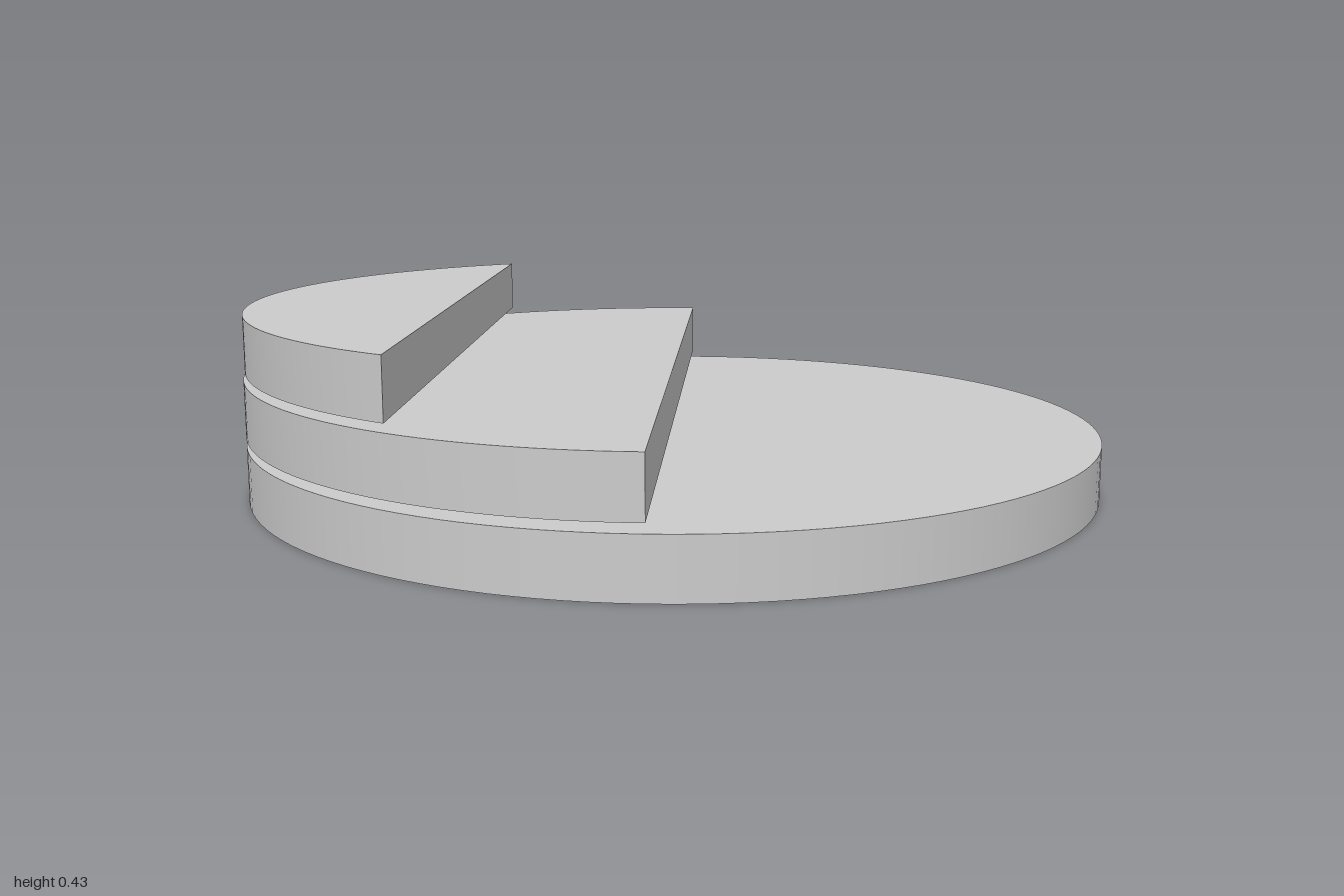
import * as THREE from 'three';
import { toCreasedNormals } from 'three/addons/utils/BufferGeometryUtils.js';

const material = new THREE.MeshStandardMaterial({ color: 0xcccccc });
const THICKNESS = 0.13;

// Circular segment slab: arc runs counterclockwise (seen from above), closed by a straight chord
function segmentSlab(name, radius, startDeg, endDeg, y) {
  const shape = new THREE.Shape();
  shape.absarc(0, 0, radius, THREE.MathUtils.degToRad(startDeg), THREE.MathUtils.degToRad(endDeg), false);
  shape.closePath();
  const extruded = new THREE.ExtrudeGeometry(shape, { depth: THICKNESS, bevelEnabled: false, curveSegments: 64 });
  extruded.rotateX(-Math.PI / 2);
  const mesh = new THREE.Mesh(toCreasedNormals(extruded, Math.PI / 6), material);
  mesh.name = name;
  mesh.position.y = y;
  return mesh;
}

export function createModel() {
  const group = new THREE.Group();
  group.name = 'steppedDiscs';

  // Full round base
  const base = new THREE.Mesh(new THREE.CylinderGeometry(1, 1, THICKNESS, 128), material);
  base.name = 'baseDisc';
  base.position.y = THICKNESS / 2;
  group.add(base);

  // Half disc and smaller segment, floating above with thin gaps
  group.add(segmentSlab('middleHalfDisc', 1, 90, 270.3, 0.15));
  group.add(segmentSlab('topSegment', 0.996, 122.1, 240.2, 0.297));

  return group;
}
